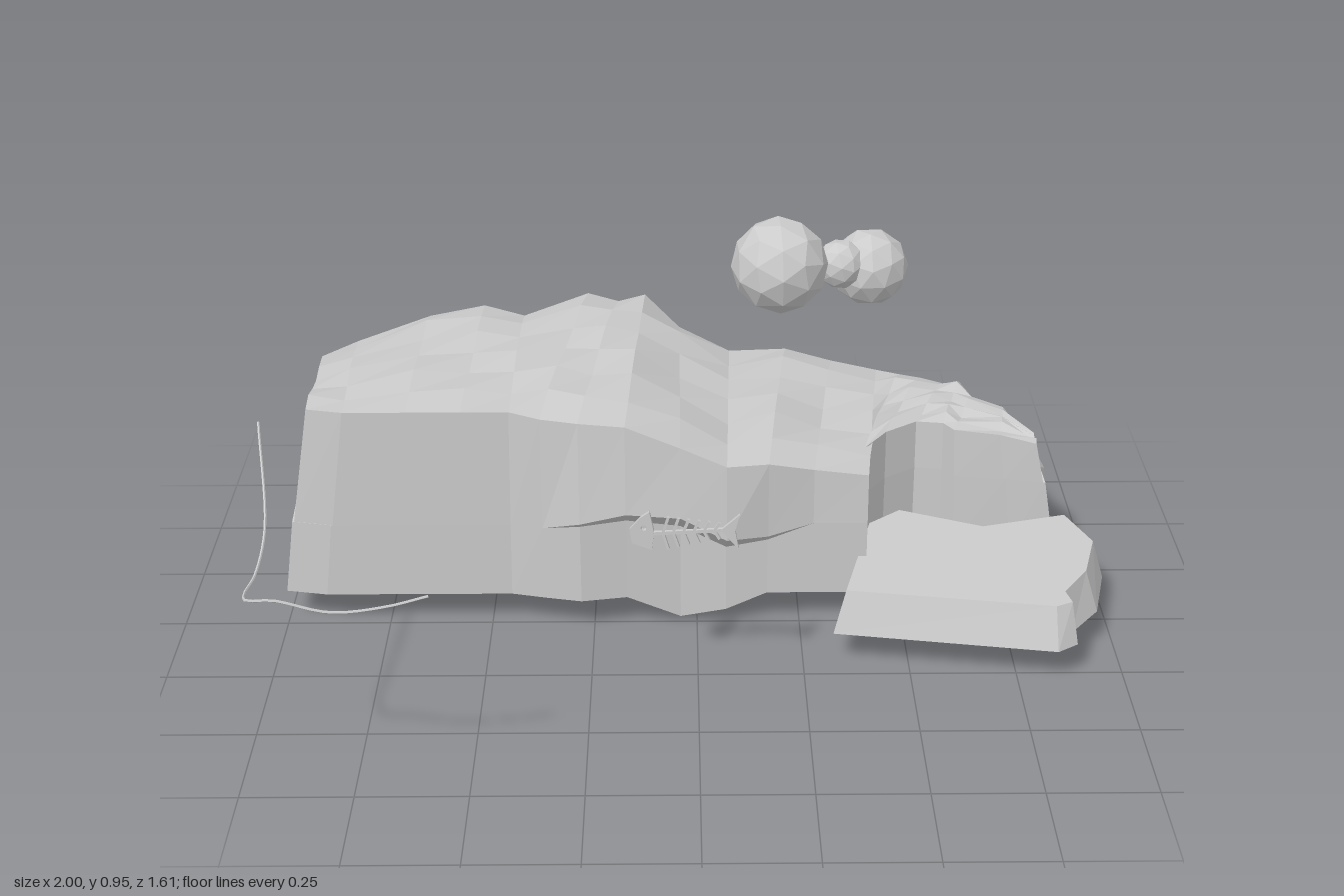
import * as THREE from 'three';

const stone = new THREE.MeshStandardMaterial({ color: 0xcccccc, flatShading: true });

function add(parent, name, geometry) {
  const mesh = new THREE.Mesh(geometry, stone);
  mesh.name = name;
  parent.add(mesh);
  return mesh;
}

// Joins closed rings of points into a faceted solid with fanned ends.
function loft(rings) {
  const n = rings[0].length, pos = [];
  const tri = (...pts) => pts.forEach(p => pos.push(...p));
  for (let i = 0; i < rings.length - 1; i++) {
    for (let j = 0; j < n; j++) {
      const k = (j + 1) % n;
      const a = rings[i][j], b = rings[i + 1][j], c = rings[i + 1][k], d = rings[i][k];
      tri(a, b, c);
      tri(a, c, d);
    }
  }
  const cap = (ring, flip) => {
    const mid = [0, 1, 2].map(q => ring.reduce((s, p) => s + p[q], 0) / n);
    ring.forEach((p, j) => {
      const next = ring[(j + 1) % n];
      flip ? tri(mid, next, p) : tri(mid, p, next);
    });
  };
  cap(rings[0], false);
  cap(rings[rings.length - 1], true);
  const g = new THREE.BufferGeometry();
  g.setAttribute('position', new THREE.Float32BufferAttribute(pos, 3));
  g.computeVertexNormals();
  return g;
}

// Walls lean inwards towards the top.
const leanX = (x, t) => x + t * (x < -0.4 ? -(x + 0.4) * 0.13 : x > 0.6 ? -(x - 0.6) * 0.2 : 0);
const leanZ = (z, t) => z + t * (z < -0.4 ? -(z + 0.4) * 0.08 : 0);

// Columns across the cliff: front x, front z, back x, back z, top height
const columns = [
  [-1, -0.02, -1, -0.39, 0.57], [-0.9, 0, -0.92, -0.49, 0.57],
  [-0.73, 0, -0.73, -0.69, 0.57], [-0.58, 0, -0.57, -0.73, 0.57],
  [-0.45, 0, -0.45, -0.7, 0.57], [-0.37, 0.02, -0.28, -0.81, 0.57],
  [-0.28, 0.06, -0.2, -0.81, 0.57], [-0.17, 0.07, -0.13, -0.81, 0.565],
  [-0.04, 0.07, -0.04, -0.77, 0.51], [0.07, 0.07, 0.09, -0.67, 0.46],
  [0.17, 0.03, 0.24, -0.74, 0.455], [0.28, 0, 0.36, -0.72, 0.415],
  [0.41, 0, 0.48, -0.71, 0.4], [0.41, -0.15, 0.54, -0.67, 0.4],
  [0.47, -0.24, 0.59, -0.64, 0.4], [0.55, -0.3, 0.66, -0.62, 0.4],
  [0.62, -0.29, 0.71, -0.6, 0.4], [0.65, -0.25, 0.75, -0.52, 0.4],
  [0.79, -0.23, 0.83, -0.43, 0.395], [0.9, -0.21, 0.9, -0.28, 0.38],
];
// Overhang on the front wall by column: lip height, recess depth
const overhang = { 6: [0.3, 0.02], 7: [0.33, 0.05], 8: [0.32, 0.07], 9: [0.26, 0.06], 10: [0.25, 0.03] };
// Heights of the underside where it leaves the base level: front, back
const underside = { 3: [0.08, 0.06], 4: [0.08, 0.045], 5: [0.08, 0.06], 8: [0.015, 0.0], 9: [0.04, 0.03], 14: [0.08, 0.06] };

function cliffRing([fx, fz, bx, bz, top], i) {
  const [lip, deep] = overhang[i] || [0.27, 0];
  const [lowF, lowB] = underside[i] || [0.08, 0.07];
  const frontTop = top - (fz > 0.01 ? 0.015 : 0.005);
  const t = (lip - 0.08) / (top - 0.08);
  const ring = [
    [fx, lowF, fz - deep],
    [leanX(fx, t * 0.85), lip - deep * 0.8, fz - deep],
    [leanX(fx, t), lip, fz],
    [leanX(fx, 1), frontTop, fz - (fz > 0.04 ? 0.02 : 0.005)],
  ];
  // Uneven top surface
  for (let r = 1; r < 6; r++) {
    const s = r / 6;
    const y = top + 0.009 * Math.sin(i * 2.3 + r * 1.7) - 0.01 * s;
    ring.push([
      leanX(fx + (bx - fx) * s, 1), y,
      leanZ(fz + (bz - fz) * s, 1),
    ]);
  }
  const backTop = top - 0.03 + 0.012 * Math.sin(i * 2.9);
  ring.push([leanX(bx, 1), backTop, leanZ(bz, 1)]);
  ring.push([leanX(bx, 0.45), 0.28, leanZ(bz, 0.45) + 0.008 * Math.sin(i * 4.1)]);
  ring.push([bx, lowB, bz]);
  return ring;
}

// Low slab with bevelled sides; outline entries are base x, base z, top x, top z
function slab(outline, y0, y1) {
  const ring = [0, 1].map(k => outline.map(p => [p[2 * k], k ? y1 : y0, p[2 * k + 1]]));
  const pos = [], tri = (...pts) => pts.forEach(p => pos.push(...p));
  outline.forEach((_, j) => {
    const k = (j + 1) % outline.length;
    tri(ring[0][j], ring[0][k], ring[1][k]);
    tri(ring[0][j], ring[1][k], ring[1][j]);
  });
  ring.forEach((pts, k) => {
    const flat = pts.map(p => new THREE.Vector2(p[0], -p[2]));
    for (const [a, b, c] of THREE.ShapeUtils.triangulateShape(flat, [])) {
      k ? tri(pts[a], pts[b], pts[c]) : tri(pts[a], pts[c], pts[b]);
    }
  });
  const g = new THREE.BufferGeometry();
  g.setAttribute('position', new THREE.Float32BufferAttribute(pos, 3));
  g.computeVertexNormals();
  return g;
}

// Flat bar between two points of the fish skeleton
function bone(parent, name, x0, y0, x1, y1, w) {
  const m = add(parent, name, new THREE.BoxGeometry(Math.hypot(x1 - x0, y1 - y0), w, 0.008));
  m.position.set((x0 + x1) / 2, (y0 + y1) / 2, 0);
  m.rotation.z = Math.atan2(y1 - y0, x1 - x0);
}

function fishSkeleton() {
  const fish = new THREE.Group();
  fish.name = 'fishSkeleton';
  const plate = (name, points, hole) => {
    const s = new THREE.Shape(points.map(p => new THREE.Vector2(...p)));
    if (hole) s.holes.push(new THREE.Path().absarc(...hole, 0, Math.PI * 2, true));
    const g = new THREE.ExtrudeGeometry(s, { depth: 0.01, bevelEnabled: false, curveSegments: 4 });
    add(fish, name, g.translate(0, 0, -0.005));
  };
  plate('fishHead', [[-0.125, -0.02], [-0.1, -0.022], [-0.125, -0.01], [-0.075, -0.045], [-0.07, 0],
    [-0.08, 0.05], [-0.1, 0.035]].slice(3).concat([[-0.125, 0.005], [-0.12, -0.03]]), [-0.093, 0.01, 0.007]);
  plate('fishTail', [[0.08, 0.01], [0.122, 0.05], [0.112, 0.01], [0.12, -0.035]]);
  bone(fish, 'fishSpine', -0.075, -0.005, 0.09, 0.01, 0.008);
  for (let i = 0; i < 6; i++) {
    const x = -0.05 + i * 0.023, h = 0.04 - i * 0.004, y = -0.003 + i * 0.002;
    bone(fish, 'fishRib', x, y, x + 0.012, y + h, 0.006);
    bone(fish, 'fishRib', x, y, x + 0.012, y - h, 0.006);
  }
  fish.position.set(-0.03, 0.435, 0.355);
  fish.rotation.y = -0.08;
  return fish;
}

export function createModel() {
  const model = new THREE.Group();
  model.name = 'rockyIsland';

  add(model, 'cliff', loft(columns.map(cliffRing)));

  // Ledge in front of the cove, listed counterclockwise from above
  add(model, 'ledge', slab([
    [0.32, 0.2, 0.35, 0.17], [0.84, 0.29, 0.835, 0.25], [0.89, 0.255, 0.875, 0.23],
    [0.885, 0.2, 0.865, 0.18], [0.96, 0.1, 0.93, 0.08], [1, -0.07, 0.97, -0.07],
    [0.94, -0.23, 0.92, -0.21], [0.71, -0.17, 0.71, -0.15], [0.5, -0.26, 0.51, -0.24],
    [0.41, -0.19, 0.43, -0.17],
  ], 0.08, 0.18));

  // Floating boulders
  for (const [x, y, z, r, turn] of [
    [0.2, 0.835, -0.255, 0.117, 0.3], [0.43, 0.765, -0.42, 0.096, 0.8], [0.355, 0.79, -0.375, 0.061, 1.4],
  ]) {
    const b = add(model, 'boulder', new THREE.IcosahedronGeometry(r, 1));
    b.position.set(x, y, z);
    b.rotation.set(turn, turn * 2, 0);
  }

  model.add(fishSkeleton());

  // Loose cord hanging in the air
  const path = new THREE.CatmullRomCurve3([
    [-0.985, 0.655, 0.235], [-0.945, 0.515, 0.47], [-0.945, 0.48, 0.62], [-0.952, 0.488, 0.72],
    [-0.935, 0.505, 0.78], [-0.88, 0.51, 0.788], [-0.765, 0.485, 0.794], [-0.65, 0.5, 0.799], [-0.56, 0.52, 0.79],
  ].map(p => new THREE.Vector3(...p)));
  add(model, 'cord', new THREE.TubeGeometry(path, 40, 0.003, 5));

  return model;
}
